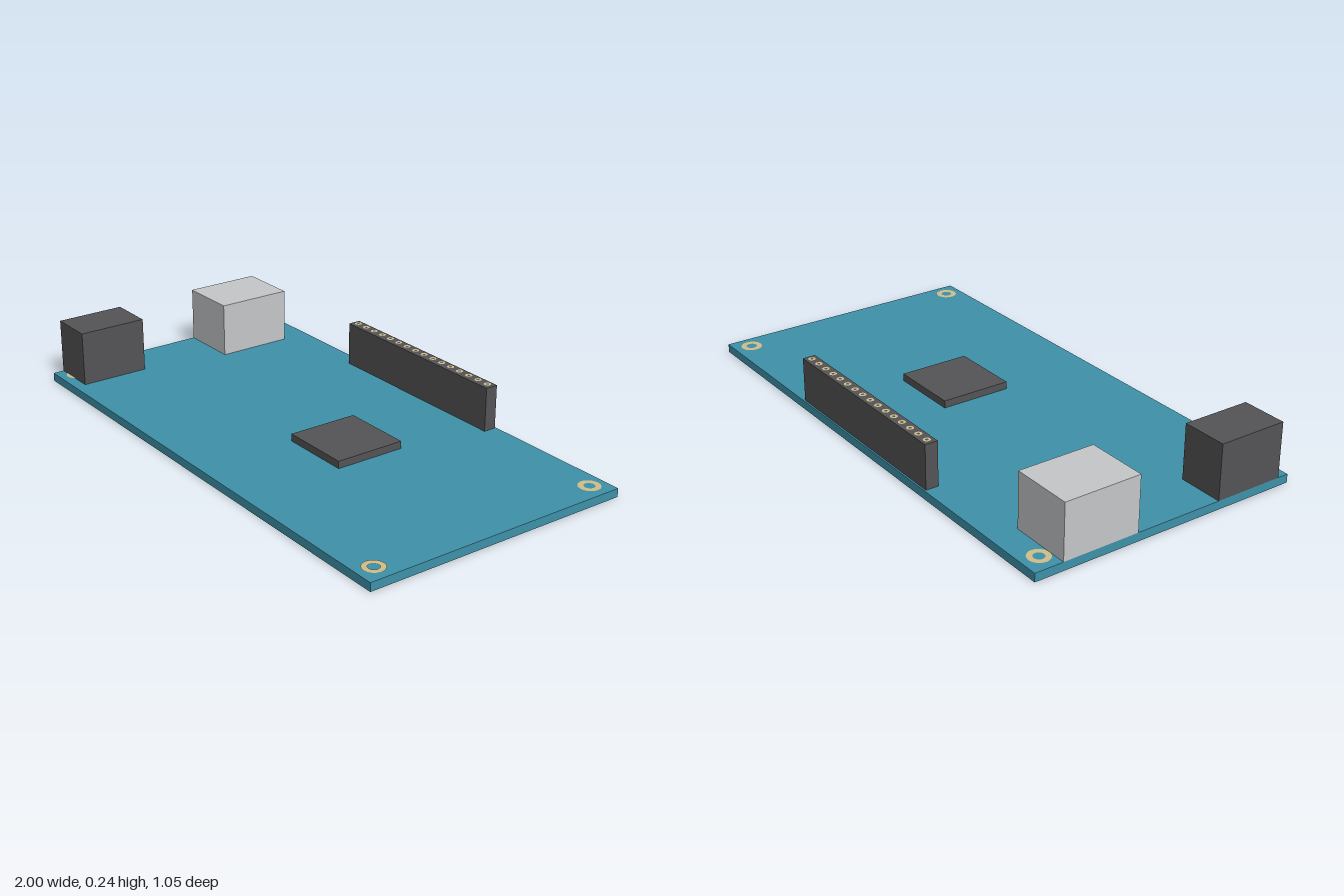
import * as THREE from 'three';

const material = (name, color) => {
  const m = new THREE.MeshStandardMaterial({ color });
  m.name = name;
  return m;
};

export function createModel() {
  const model = new THREE.Group();
  model.name = 'circuitBoard';
  const blue = material('boardBlue', 0x3f92aa);
  const dark = material('darkPlastic', 0x545355);
  const silver = material('silverMetal', 0xc6c7c9);
  const gold = material('paleGold', 0xd2c08a);
  const T = 0.032; // board thickness

  // Box given by its extents
  const block = (name, mat, x0, x1, y0, y1, z0, z1) => {
    const mesh = new THREE.Mesh(new THREE.BoxGeometry(x1 - x0, y1 - y0, z1 - z0), mat);
    mesh.position.set((x0 + x1) / 2, (y0 + y1) / 2, (z0 + z1) / 2);
    mesh.name = name;
    model.add(mesh);
  };

  block('board', blue, -1, 1, 0, T, -0.523, 0.523);
  block('powerJack', dark, -1, -0.825, T, 0.24, 0.215, 0.48);
  block('usbPort', silver, -1, -0.766, T, 0.24, -0.415, -0.121);
  block('pinHeader', dark, -0.4, 0.4, T, 0.2, -0.517, -0.468);
  block('processorChip', dark, 0.057, 0.333, T, 0.06, -0.137, 0.137);

  // Thin flat ring lying on a surface
  const ring = (name, inner, outer, segments, x, y, z) => {
    const geometry = new THREE.RingGeometry(inner, outer, segments).rotateX(-Math.PI / 2);
    const mesh = new THREE.Mesh(geometry, gold);
    mesh.position.set(x, y, z);
    mesh.name = name;
    model.add(mesh);
  };

  // Plated rings at the four corners
  for (const x of [-0.932, 0.932])
    for (const z of [-0.457, 0.457]) ring('mountingRing', 0.02, 0.04, 24, x, T + 0.002, z);

  // Row of contacts along the header
  for (let i = 0; i < 16; i++)
    ring('headerContact', 0.006, 0.0135, 12, -0.375 + i * 0.05, 0.2015, -0.494);

  return model;
}
